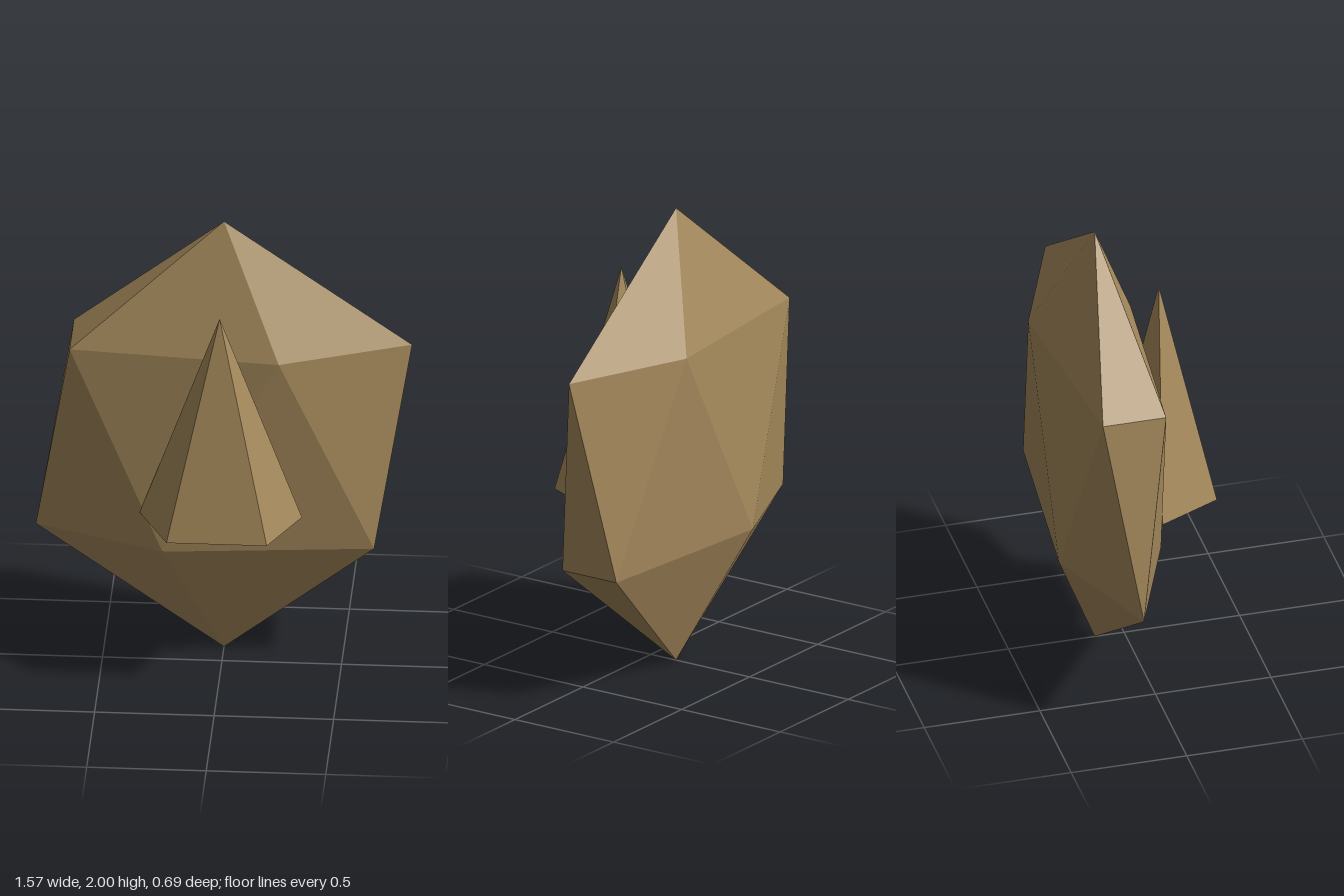
import * as THREE from 'three';

// Icosahedron of radius 1 with its poles on the y axis and a corner of the upper ring on +x
function poleIcosahedron() {
  const ringY = 1 / Math.sqrt(5);
  const ringR = 2 / Math.sqrt(5);
  const ring = (startAngle, y) => Array.from({ length: 5 }, (_, k) => {
    const a = startAngle + (k * 2 * Math.PI) / 5;
    return new THREE.Vector3(ringR * Math.cos(a), y, ringR * Math.sin(a));
  });
  const upper = ring(0, ringY);
  const lower = ring(Math.PI / 5, -ringY);
  const top = new THREE.Vector3(0, 1, 0);
  const bottom = new THREE.Vector3(0, -1, 0);

  const corners = [];
  for (let k = 0; k < 5; k++) {
    const n = (k + 1) % 5;
    corners.push(
      top, upper[n], upper[k],
      upper[k], upper[n], lower[k],
      lower[k], upper[n], lower[n],
      bottom, lower[k], lower[n],
    );
  }
  return new THREE.BufferGeometry().setFromPoints(corners);
}

export function createModel() {
  const model = new THREE.Group();
  model.name = 'facetedHead';

  const tan = new THREE.MeshStandardMaterial({ color: 0xa68a5c });
  tan.name = 'tan';
  tan.flatShading = true;

  // Flattened faceted body
  const bodyGeometry = poleIcosahedron();
  bodyGeometry.scale(0.88, 1, 0.26);
  bodyGeometry.computeVertexNormals();
  const body = new THREE.Mesh(bodyGeometry, tan);
  body.name = 'body';
  body.position.set(0, 1, -0.127);
  model.add(body);

  // Five-sided nose with a flat front face, its back edge sunk into the body
  const noseGeometry = new THREE.ConeGeometry(1, 0.96, 5, 1, false, Math.PI);
  noseGeometry.scale(0.357, 1, 0.241);
  const nose = new THREE.Mesh(noseGeometry, tan);
  nose.name = 'nose';
  nose.position.set(0, 1.205, 0.15);
  model.add(nose);

  return model;
}
